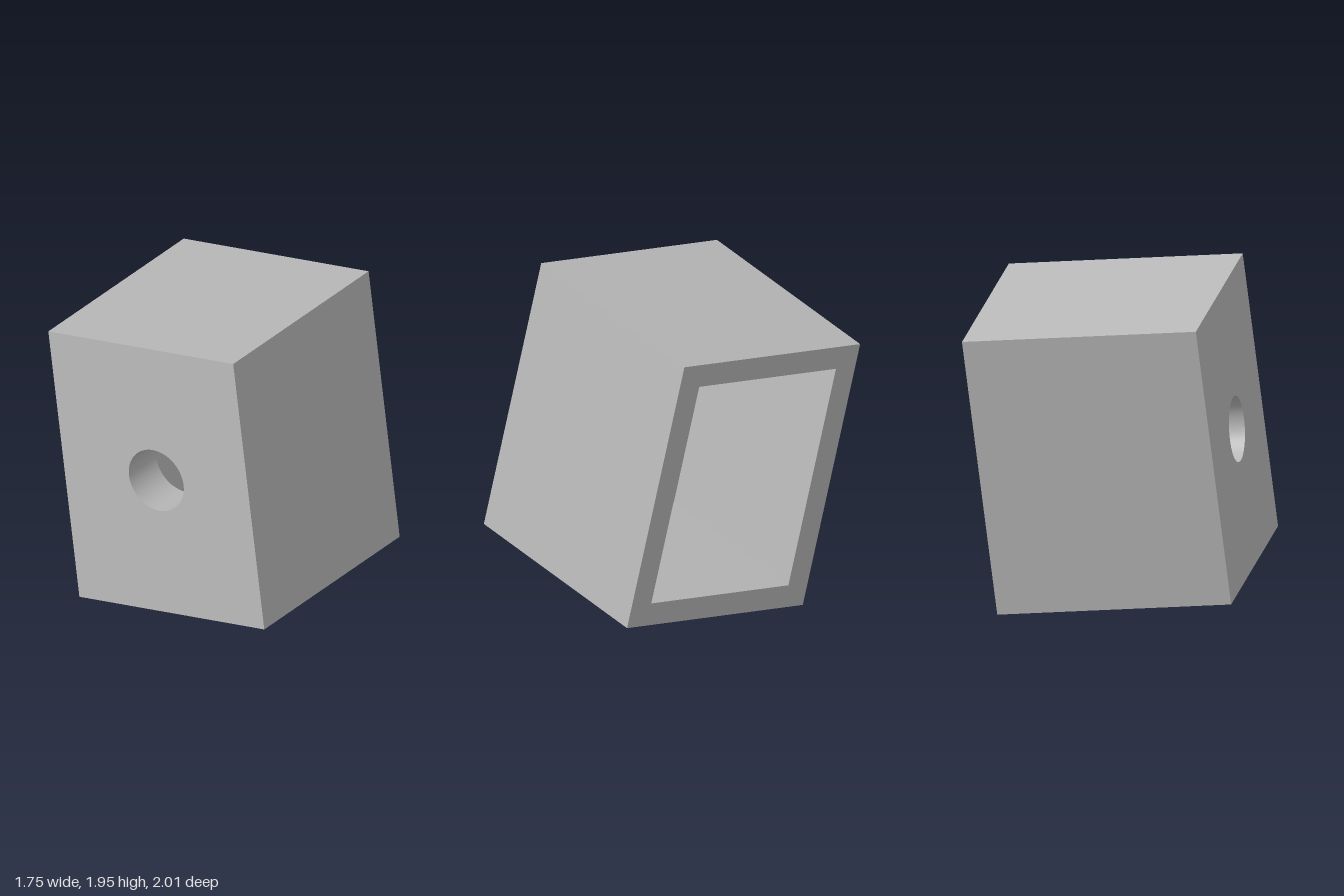
import * as THREE from 'three';
import { mergeGeometries } from 'three/addons/utils/BufferGeometryUtils.js';

const W = 1.266, H = 1.636, D = 1.354; // outer size, D along the opening axis
const WALL = 0.139, FLOOR = 0.272, R = 0.187;
const IW = W - 2 * WALL, IH = H - 2 * WALL;
const BACK = -D / 2, INNER = BACK + FLOOR, FRONT = D / 2;

function rectPath(Type, w, h) {
  return new Type([[-1, -1], [1, -1], [1, 1], [-1, 1]].map(([x, y]) => new THREE.Vector2(x * w / 2, y * h / 2)));
}

// Flat rectangle with one opening, facing +z or turned to -z
function plate(w, h, hole, z, flip) {
  const shape = rectPath(THREE.Shape, w, h);
  shape.holes.push(hole);
  const g = new THREE.ShapeGeometry(shape, 32);
  if (flip) g.rotateY(Math.PI);
  return g.translate(0, 0, z);
}

// Four side walls facing outward or inward
function sides(w, h, z0, z1, inward) {
  const walls = [];
  for (let i = 0; i < 4; i++) {
    const [span, dist] = i % 2 ? [h, w] : [w, h];
    walls.push(new THREE.PlaneGeometry(span, z1 - z0)
      .rotateX(inward ? Math.PI / 2 : -Math.PI / 2)
      .translate(0, dist / 2, (z0 + z1) / 2)
      .rotateZ(i * Math.PI / 2));
  }
  return mergeGeometries(walls);
}

export function createModel() {
  const model = new THREE.Group();
  const box = new THREE.Group();
  box.name = 'hollowBox';
  const grey = new THREE.MeshStandardMaterial({ color: 0xb8b8b8 });
  grey.name = 'grey';
  const add = (name, geometry) => {
    const mesh = new THREE.Mesh(geometry, grey);
    mesh.name = name;
    box.add(mesh);
  };
  const circle = () => new THREE.Path().absarc(0, 0, R, 0, Math.PI * 2, true);

  // Outside walls, rim round the opening and closed end
  add('outerWalls', sides(W, H, BACK, FRONT, false));
  add('rim', plate(W, H, rectPath(THREE.Path, IW, IH), FRONT, false));
  add('closedEnd', plate(W, H, circle(), BACK, true));

  // Cavity with the round bore through its floor
  add('cavityWalls', sides(IW, IH, INNER, FRONT, true));
  add('cavityFloor', plate(IW, IH, circle(), INNER, false));
  add('bore', new THREE.LatheGeometry(
    [new THREE.Vector2(R, INNER), new THREE.Vector2(R, BACK)], 64).rotateX(Math.PI / 2));

  // Tilt: the opening axis and the height axis fix the pose
  const up = new THREE.Vector3(0, 0.979, -0.202).normalize();
  const axis = new THREE.Vector3(0.912, -0.083, -0.402).normalize();
  const across = new THREE.Vector3().crossVectors(up, axis).normalize();
  axis.crossVectors(across, up);
  box.quaternion.setFromRotationMatrix(new THREE.Matrix4().makeBasis(across, up, axis));
  box.position.y = 0.975;
  model.add(box);
  return model;
}
